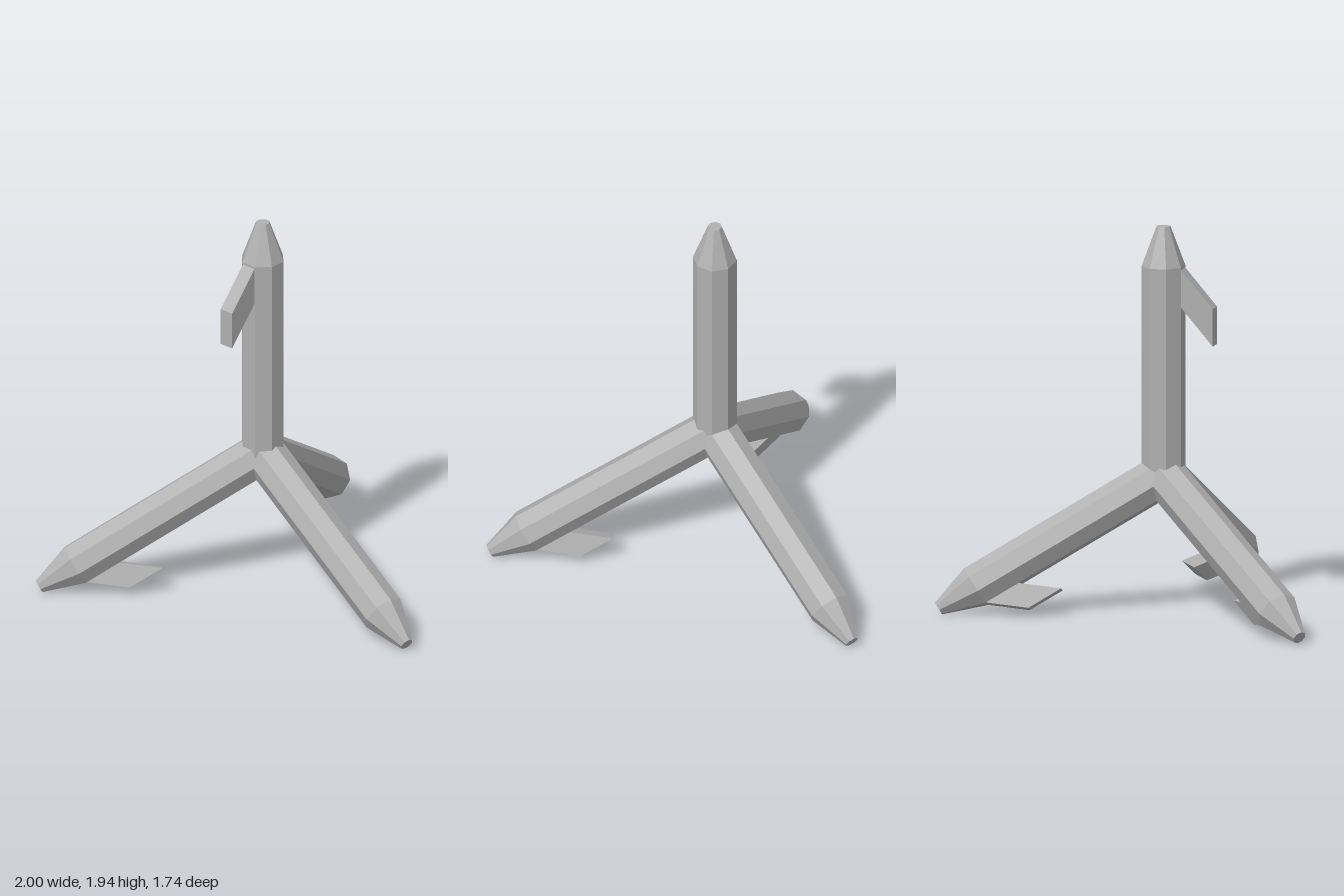
import * as THREE from 'three';

const steel = new THREE.MeshStandardMaterial({ color: 0xb0b0b0, flatShading: true });
steel.name = 'steel grey';

const RADIUS = 0.11;
const TIP_RADIUS = 0.035;
const rad = THREE.MathUtils.degToRad;

// Octagonal shaft with a blunt tapered tip, running up +y from the hub
function spikeGeometry(length, taper) {
  const profile = [
    [0, 0], [RADIUS, 0], [RADIUS, length - taper], [TIP_RADIUS, length], [0, length],
  ].map(([r, y]) => new THREE.Vector2(r, y));
  return new THREE.LatheGeometry(profile, 8);
}

// Swept-back barb reaching out along +z, as wide as one side of the shaft
function barbGeometry(reach, rootTop, rootBottom, endTop, endBottom) {
  const root = RADIUS * Math.cos(Math.PI / 8) - 0.005;
  const shape = new THREE.Shape([
    new THREE.Vector2(root, rootTop),
    new THREE.Vector2(root, rootBottom),
    new THREE.Vector2(reach, endBottom),
    new THREE.Vector2(reach, endTop),
  ]);
  const width = 0.078;
  return new THREE.ExtrudeGeometry(shape, { depth: width, bevelEnabled: false })
    .translate(0, 0, -width / 2)
    .rotateY(-Math.PI / 2);
}

function makeArm(name, length, taper, barb, barbAngle) {
  const arm = new THREE.Group();
  arm.name = name;
  const spike = new THREE.Mesh(spikeGeometry(length, taper), steel);
  spike.name = name + 'Spike';
  const hook = new THREE.Mesh(barb, steel);
  hook.name = name + 'Barb';
  hook.rotation.y = rad(barbAngle);
  arm.add(spike, hook);
  return arm;
}

export function createModel() {
  const model = new THREE.Group();
  model.name = 'caltrop';

  // Hub where all four arms meet
  const hub = new THREE.Group();
  hub.name = 'hub';
  hub.position.set(0, 0.69, 0.275);
  model.add(hub);

  // Upright arm
  hub.add(makeArm('uprightArm', 1.26, 0.2,
    barbGeometry(0.265, 1.055, 0.865, 0.86, 0.67), -22.5));

  // Three legs, 30 degrees below level, with barbs underneath
  [['backLeg', 0], ['rightLeg', 120], ['leftLeg', -120]].forEach(([name, yaw]) => {
    const leg = makeArm(name, 1.3, 0.21,
      barbGeometry(0.235, 1.09, 0.9, 0.915, 0.725), 202.5);
    leg.rotation.set(rad(-120), rad(yaw), 0, 'YXZ');
    hub.add(leg);
  });

  return model;
}
